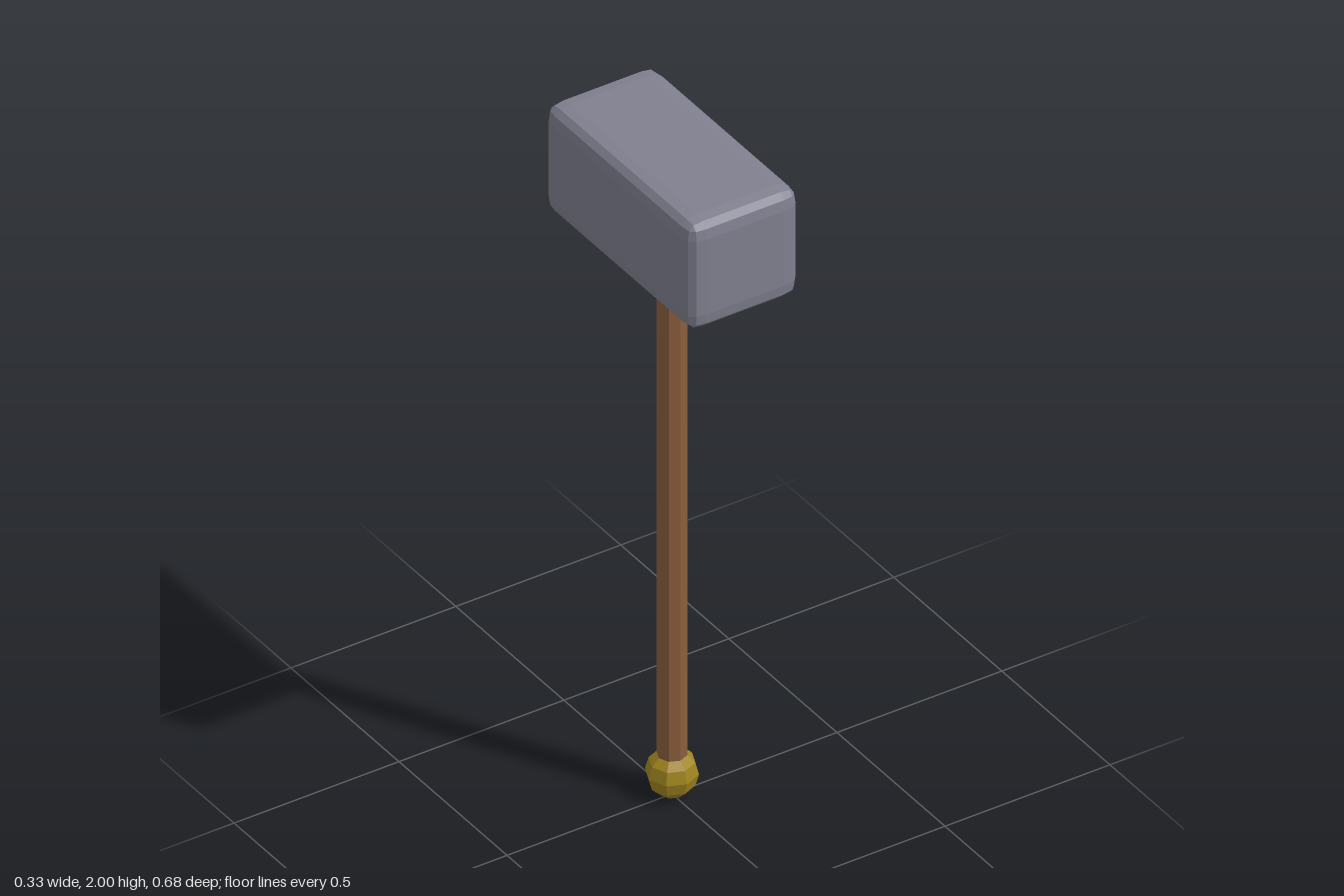
import * as THREE from 'three';
import { ConvexGeometry } from 'three/addons/geometries/ConvexGeometry.js';

function addPart(group, name, geometry, color, y) {
  const material = new THREE.MeshStandardMaterial({ color, flatShading: true });
  const mesh = new THREE.Mesh(geometry, material);
  mesh.name = name;
  mesh.position.y = y;
  group.add(mesh);
}

// Box whose edges are bevelled in three steps; each inset triple is mirrored to all corners.
function bevelledBox(hx, hy, hz) {
  const insets = [
    [0, 0.05, 0.05], [0.05, 0, 0.05], [0.05, 0.05, 0],
    [0.004, 0.02, 0.05], [0.02, 0.004, 0.05], [0.004, 0.05, 0.02],
    [0.02, 0.05, 0.004], [0.05, 0.004, 0.02], [0.05, 0.02, 0.004],
    [0.008, 0.021, 0.021], [0.021, 0.008, 0.021], [0.021, 0.021, 0.008],
  ];
  const points = [];
  for (const sx of [-1, 1]) for (const sy of [-1, 1]) for (const sz of [-1, 1]) {
    for (const [a, b, c] of insets) {
      points.push(new THREE.Vector3(sx * (hx - a), sy * (hy - b), sz * (hz - c)));
    }
  }
  return new ConvexGeometry(points);
}

export function createModel() {
  const hammer = new THREE.Group();
  hammer.name = 'hammer';

  // Heavy block head
  addPart(hammer, 'head', bevelledBox(0.167, 0.165, 0.342), 0x808090, 1.835);

  // Eight-sided wooden shaft running into the head
  addPart(hammer, 'handle', new THREE.CylinderGeometry(0.04, 0.04, 1.62, 8), 0x8b5e3c, 0.89);

  // Faceted ball at the foot of the shaft
  addPart(hammer, 'pommel', new THREE.SphereGeometry(0.07, 8, 6), 0xa08420, 0.07);

  return hammer;
}
